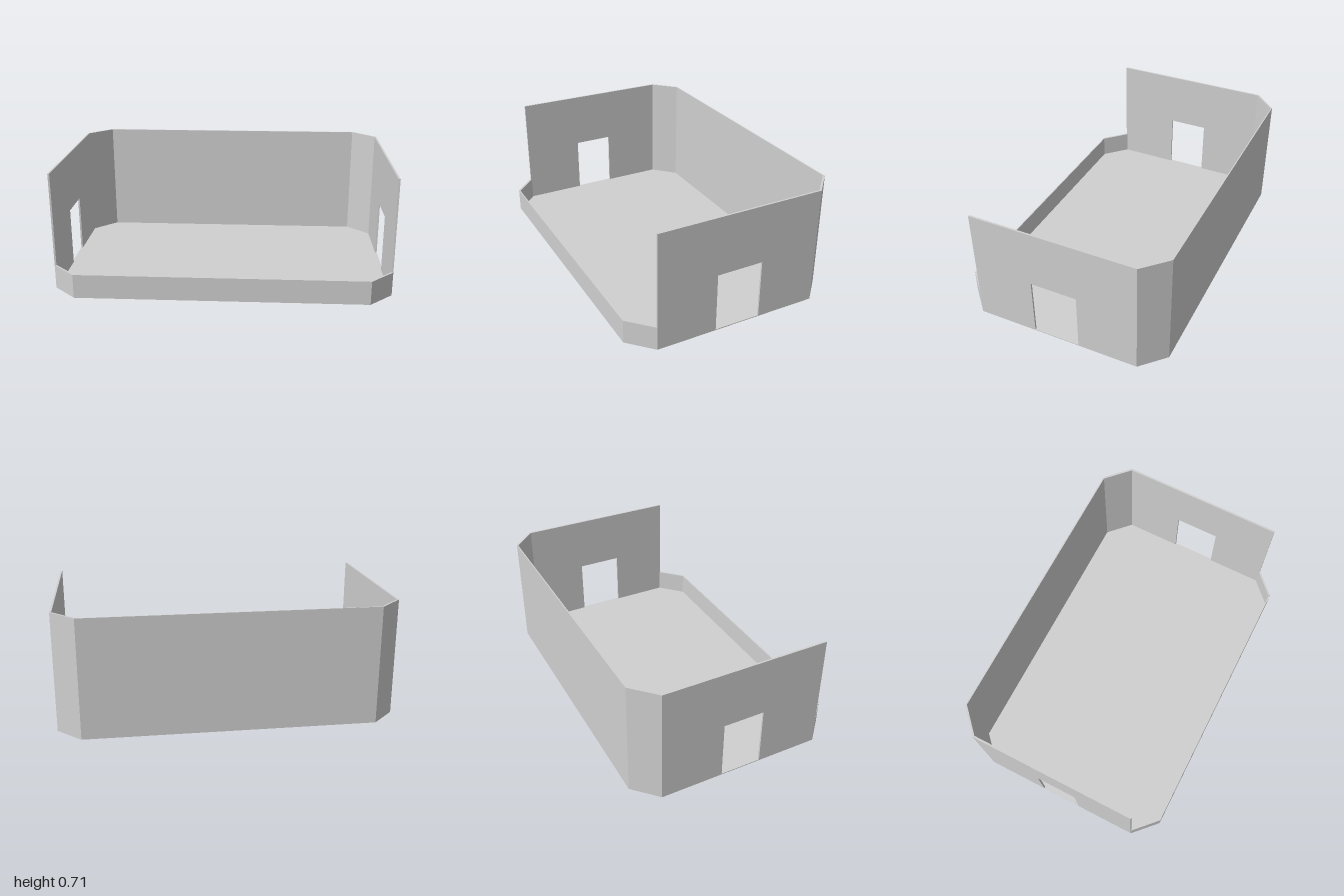
import * as THREE from 'three';

const HIGH = 0.713, LOW = 0.145, FLOOR = 0.005, WALL = 0.011;

// outer plan outline [x, z], starting at the left end of the back wall
const OUTER = [
  [0.86, -0.64], [-0.86, -0.64], [-1, -0.505], [-1, 0.505],
  [-0.86, 0.64], [0.86, 0.64], [1, 0.505], [1, -0.505],
];
const INNER = OUTER.map(([x, z]) => [x * (1 - WALL), z * (1 - WALL)]);

export function createModel() {
  const group = new THREE.Group();
  const grey = new THREE.MeshStandardMaterial({ color: 0xd0d0d0 });
  grey.name = 'light grey';

  const add = (name, geometry) => {
    const mesh = new THREE.Mesh(geometry, grey);
    mesh.name = name;
    group.add(mesh);
  };

  // upright prism standing on a plan polygon
  const prism = (name, points, y0, y1) => {
    const shape = new THREE.Shape(points.map(([x, z]) => new THREE.Vector2(x, -z)));
    const geometry = new THREE.ExtrudeGeometry(shape, { depth: y1 - y0, bevelEnabled: false });
    geometry.rotateX(-Math.PI / 2).translate(0, y0, 0);
    add(name, geometry);
  };

  prism('floor', OUTER, 0, FLOOR);

  // back, front and corner walls between neighbouring outline points
  const segments = [
    ['backWall', 0, HIGH], ['backRightCorner', 1, HIGH], ['frontRightCorner', 3, LOW],
    ['frontWall', 4, LOW], ['frontLeftCorner', 5, LOW], ['backLeftCorner', 7, HIGH],
  ];
  for (const [name, i, top] of segments) {
    const j = (i + 1) % 8;
    prism(name, [OUTER[i], OUTER[j], INNER[j], INNER[i]], FLOOR, top);
  }

  // side walls with a doorway cut up from the floor
  const sideWall = (name, outerX, doorHalf) => {
    const outline = [
      [-0.505, FLOOR], [-doorHalf, FLOOR], [-doorHalf, 0.36], [doorHalf, 0.36],
      [doorHalf, FLOOR], [0.505, FLOOR], [0.505, HIGH], [-0.505, HIGH],
    ];
    const shape = new THREE.Shape(outline.map(([z, y]) => new THREE.Vector2(z, y)));
    const geometry = new THREE.ExtrudeGeometry(shape, { depth: WALL, bevelEnabled: false });
    geometry.rotateY(-Math.PI / 2).translate(outerX > 0 ? outerX : outerX + WALL, 0, 0);
    add(name, geometry);
  };
  sideWall('leftWall', 1, 0.1415);
  sideWall('rightWall', -1, 0.1255);

  return group;
}
